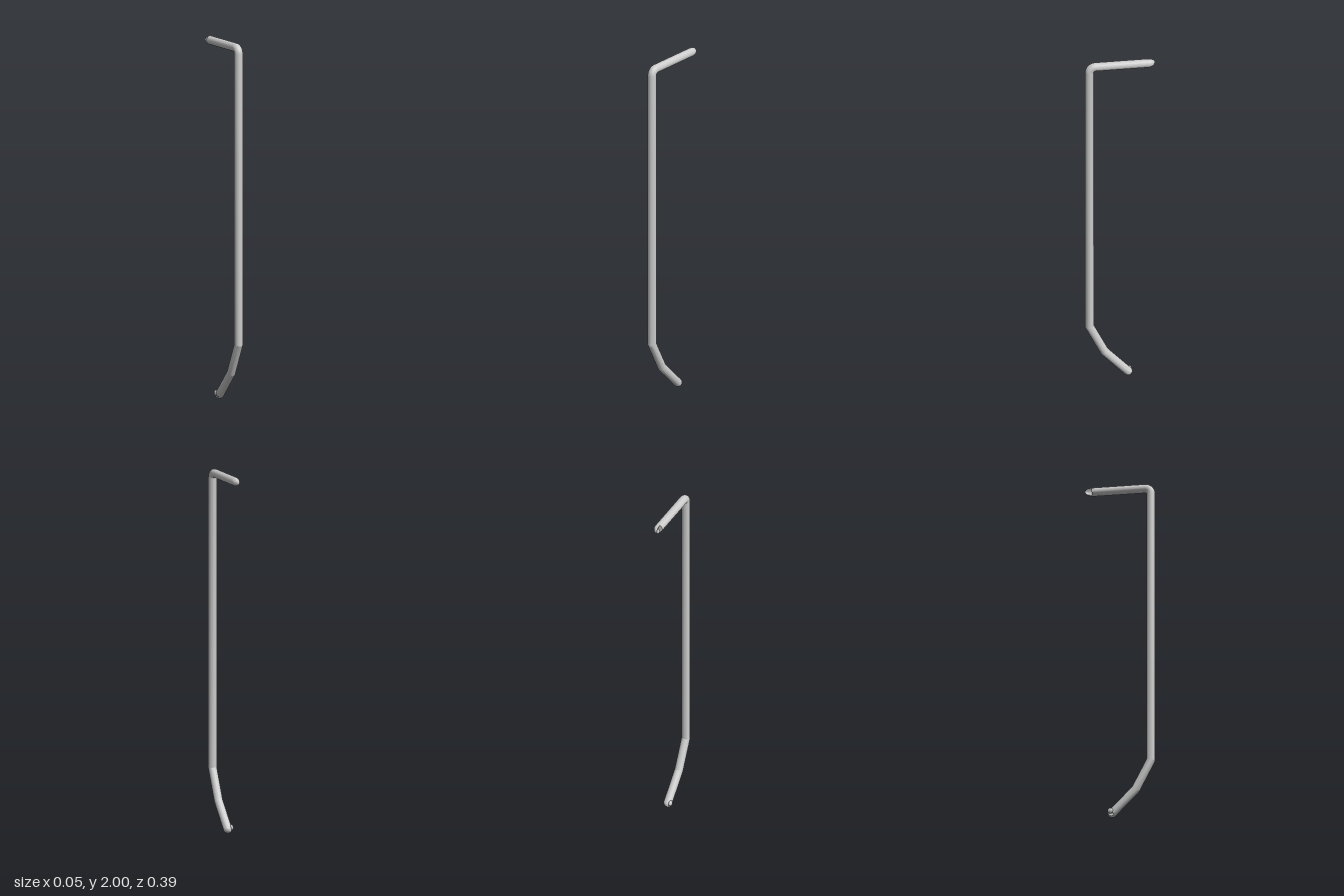
import * as THREE from 'three';
import { toCreasedNormals } from 'three/addons/utils/BufferGeometryUtils.js';

const R = 0.0238, CX = 0.002, SIDES = 36, STEPS = 9;

// Centre line in the (z, y) plane: upper arm, rounded elbow, long shaft, two-step foot
function centreLine() {
  const pts = [[-0.155, 1.976]];
  const bend = 0.032, z0 = 0.169 - bend, y0 = 1.976 - bend;
  for (let i = 0; i <= 8; i++) {
    const a = (i / 8) * Math.PI / 2;
    pts.push([z0 + bend * Math.sin(a), y0 + bend * Math.cos(a)]);
  }
  pts.push([0.169, 0.33], [0.085, 0.162], [-0.045, 0.026]);
  return pts.map(([z, y]) => new THREE.Vector2(z, y));
}

// Stations hold a centre, the tangent, mitre stretch, tip shrink k and the cut on the -x side
function stations() {
  const pts = centreLine(), n = pts.length, list = [];
  const dir = i => pts[i + 1].clone().sub(pts[i]).normalize();
  const tip = (p, t, length, sign, pivot, cut, scoop) => {
    const out = [];
    for (let i = 0; i <= STEPS; i++) {
      const a = (i / STEPS) * Math.PI / 2;
      out.push({
        p: p.clone().addScaledVector(t, sign * length * Math.sin(a)), t, mitre: 1,
        k: Math.max(Math.cos(a), 0.001), pivot, cut, scoop,
      });
    }
    return out;
  };
  list.push(...tip(pts[0], dir(0), 0.04, -1, -0.01, -0.01, 0.01).reverse());
  for (let i = 0; i < n; i++) {
    const a = dir(Math.max(i - 1, 0)), b = dir(Math.min(i, n - 2));
    const t = a.clone().add(b).normalize();
    list.push({ p: pts[i], t, mitre: 1 / t.dot(a), k: 1, pivot: 0, cut: -1, scoop: 0 });
  }
  list.push(...tip(pts[n - 1], dir(n - 2), 0.025, 1, -0.006, -0.016, 0.006));
  return list;
}

// Round bar swept through the stations, with scooped tips
function barGeometry() {
  const pos = [], index = [], list = stations();
  list.forEach((s, i) => {
    for (let j = 0; j < SIDES; j++) {
      const a = (j / SIDES) * Math.PI * 2;
      let x = s.pivot + (R * Math.cos(a) - s.pivot) * s.k;
      if (x < s.cut) x = s.cut + s.scoop * s.k * Math.cos(a) ** 2;
      const h = R * Math.sin(a) * s.k * s.mitre;
      pos.push(CX + x, s.p.y + s.t.x * h, s.p.x - s.t.y * h);
      if (i < list.length - 1) {
        const j2 = (j + 1) % SIDES, A = i * SIDES + j, B = i * SIDES + j2;
        index.push(A, B, A + SIDES, B, B + SIDES, A + SIDES);
      }
    }
  });
  const g = new THREE.BufferGeometry();
  g.setAttribute('position', new THREE.Float32BufferAttribute(pos, 3));
  g.setIndex(index);
  return toCreasedNormals(g, 0.27);
}

export function createModel() {
  const group = new THREE.Group();
  group.name = 'bentRod';
  const material = new THREE.MeshStandardMaterial({ color: 0xcccccc, side: THREE.DoubleSide });

  const bar = new THREE.Mesh(barGeometry(), material);
  bar.name = 'bar';

  // Small swelling on the side of the foot tip
  const bead = new THREE.Mesh(new THREE.SphereGeometry(1, 20, 14), material);
  bead.name = 'footBead';
  bead.scale.set(0.010, 0.016, 0.016);
  bead.position.set(-0.018, 0.033, -0.052);

  group.add(bar, bead);
  return group;
}
